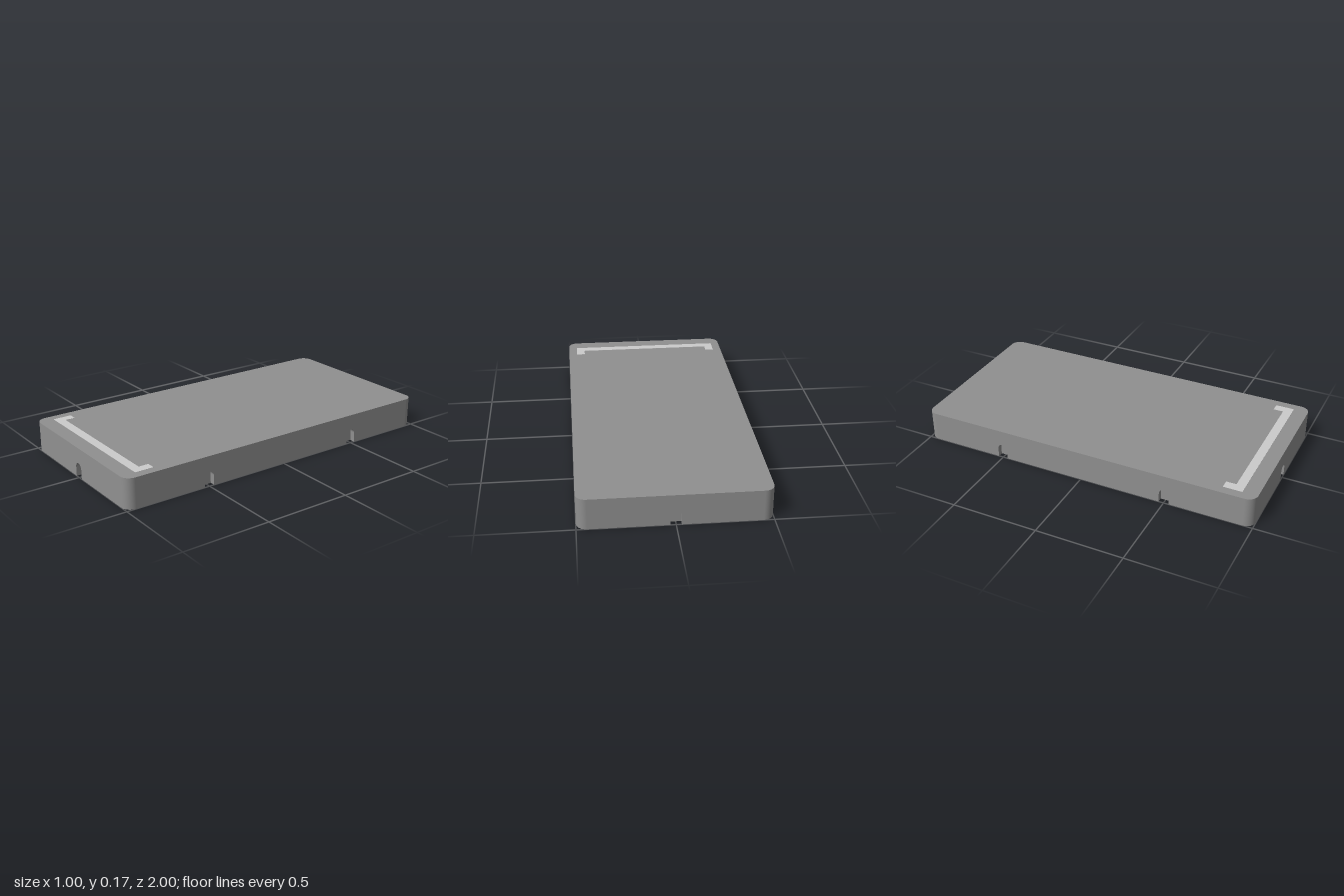
import * as THREE from 'three';
import { mergeGeometries } from 'three/addons/utils/BufferGeometryUtils.js';

const HX = 0.5, HZ = 1, H = 0.172, R = 0.055;   // half sizes, height, corner radius
const NW = 0.0285, NH = 0.083, ND = 0.03;       // notch half width, height, depth
const SEG = 12;
const SIDES = [
  { n: HX, t: HZ, notches: [-0.5, 0.5] },       // long side
  { n: HZ, t: HX, notches: [0] },               // short side
];

// Arch outline from bottom left, over the top, to bottom right
function archPoints(c) {
  const pts = [new THREE.Vector2(c - NW, 0)];
  for (let i = 0; i <= SEG; i++) {
    const a = Math.PI * (1 - i / SEG);
    pts.push(new THREE.Vector2(c + NW * Math.cos(a), NH - NW + NW * Math.sin(a)));
  }
  pts.push(new THREE.Vector2(c + NW, 0));
  return pts;
}

// Rounded rectangle for the caps, optionally cut by the notches
function capShape(notched) {
  const pts = [];
  for (let k = 0; k < 4; k++) {
    const a = k * Math.PI / 2, { n, t, notches } = SIDES[k % 2];
    const add = (u, v) => pts.push(new THREE.Vector2(
      v * Math.cos(a) - u * Math.sin(a), v * Math.sin(a) + u * Math.cos(a)));
    if (notched) for (const c of notches) {
      add(c - NW, n);
      add(c - NW, n - ND);
      add(c + NW, n - ND);
      add(c + NW, n);
    }
    for (let i = 0; i <= SEG; i++) {
      const p = i / SEG * Math.PI / 2;
      add(t - R + R * Math.sin(p), n - R + R * Math.cos(p));
    }
  }
  return new THREE.Shape(pts);
}

// Flat wall facing +z with arched notches, their linings and back faces
function wallParts({ n, t, notches }) {
  const w = t - R;
  const outline = [new THREE.Vector2(-w, 0)];
  const parts = [];
  for (const c of notches) {
    const arch = archPoints(c);
    outline.push(...arch);
    parts.push(new THREE.ShapeGeometry(new THREE.Shape(arch)).translate(0, 0, -ND));
    const lining = new THREE.PlaneGeometry(1, 1, arch.length - 1, 1);
    const pos = lining.attributes.position;
    for (let i = 0; i < pos.count; i++) {
      const p = arch[i % arch.length];
      pos.setXYZ(i, p.x, p.y, i < arch.length ? 0 : -ND);
    }
    lining.computeVertexNormals();
    parts.push(lining);
  }
  outline.push(new THREE.Vector2(w, 0), new THREE.Vector2(w, H), new THREE.Vector2(-w, H));
  parts.push(new THREE.ShapeGeometry(new THREE.Shape(outline)));
  return parts.map(g => g.translate(0, 0, n));
}

export function createModel() {
  const group = new THREE.Group();

  // Slab body: caps, four walls and four rounded corners
  const parts = [
    new THREE.ShapeGeometry(capShape(false)).rotateX(-Math.PI / 2).translate(0, H, 0),
    new THREE.ShapeGeometry(capShape(true)).rotateX(Math.PI / 2),
  ];
  for (let k = 0; k < 4; k++) {
    const a = k * Math.PI / 2;
    for (const g of wallParts(SIDES[(k + 1) % 2])) parts.push(g.rotateY(a));
    const sx = k < 2 ? 1 : -1, sz = k === 0 || k === 3 ? 1 : -1;
    parts.push(new THREE.CylinderGeometry(R, R, H, SEG, 1, true, a, Math.PI / 2)
      .translate(sx * (HX - R), H / 2, sz * (HZ - R)));
  }
  const body = new THREE.Mesh(mergeGeometries(parts),
    new THREE.MeshStandardMaterial({ color: 0x909090 }));
  body.name = 'slabBody';
  group.add(body);

  // Bracket-shaped inlay along the front of the top
  const bracket = new THREE.Shape([
    [-0.45, -0.915], [0.45, -0.915], [0.45, -0.808], [0.4, -0.808],
    [0.4, -0.865], [-0.4, -0.865], [-0.4, -0.808], [-0.45, -0.808],
  ].map(([x, y]) => new THREE.Vector2(x, y)));
  const inlay = new THREE.Mesh(
    new THREE.ExtrudeGeometry(bracket, { depth: 0.002, bevelEnabled: false }).rotateX(-Math.PI / 2),
    new THREE.MeshStandardMaterial({ color: 0xcccccc }));
  inlay.position.y = H - 0.001;
  inlay.name = 'topInlay';
  group.add(inlay);

  return group;
}
